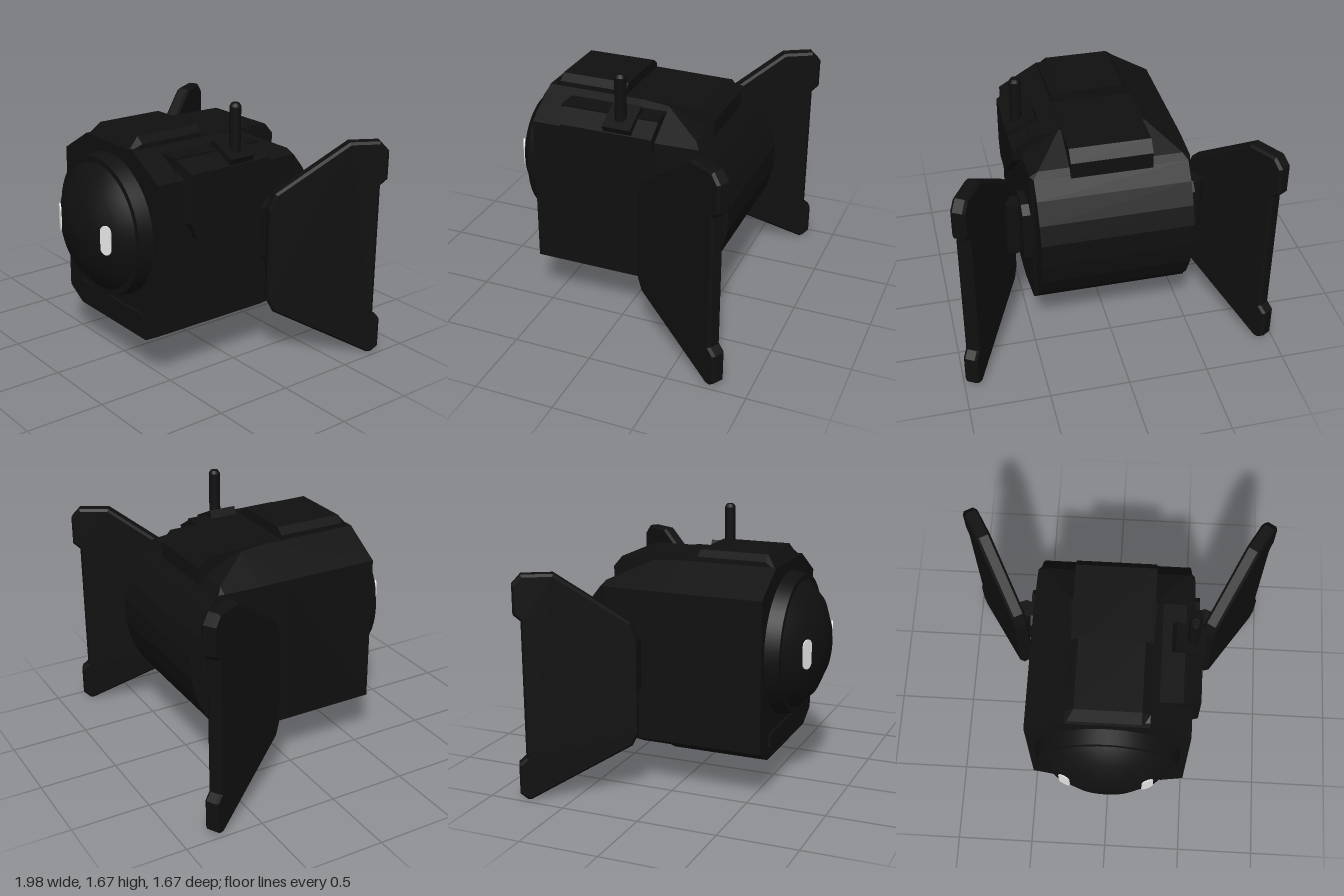
import * as THREE from 'three';

const black = new THREE.MeshStandardMaterial({ color: 0x101010 });
black.name = 'matte black';
const white = new THREE.MeshStandardMaterial({ color: 0xeeeeee });
white.name = 'eye white';

// Skins a row of equal-length rings (counter-clockwise from +z, ordered front to back)
function loft(rings) {
  const n = rings[0].length, pos = rings.flat(2), idx = [];
  for (let r = 0; r < rings.length - 1; r++) {
    for (let i = 0; i < n; i++) {
      const a = r * n + i, b = r * n + (i + 1) % n;
      idx.push(a, a + n, b, b, a + n, b + n);
    }
  }
  const last = (rings.length - 1) * n;
  for (let i = 1; i < n - 1; i++) idx.push(0, i, i + 1, last, last + i + 1, last + i);
  const g = new THREE.BufferGeometry();
  g.setAttribute('position', new THREE.Float32BufferAttribute(pos, 3));
  g.setIndex(idx);
  const flat = g.toNonIndexed();
  flat.computeVertexNormals();
  return flat;
}

// Extrudes a [z, y] profile along x from x0 to x1
function sideExtrude(profile, x0, x1) {
  const shape = new THREE.Shape(profile.map(([z, y]) => new THREE.Vector2(-z, y)));
  return new THREE.ExtrudeGeometry(shape, { depth: x1 - x0, bevelEnabled: false })
    .rotateY(Math.PI / 2).translate(x0, 0, 0);
}

export function createModel() {
  const model = new THREE.Group();
  const add = (name, geometry, x = 0, y = 0, z = 0, material = black, parent = model) => {
    const mesh = new THREE.Mesh(geometry, material);
    mesh.name = name;
    mesh.position.set(x, y, z);
    parent.add(mesh);
    return mesh;
  };

  // Body: chamfered box that rounds off into a barrel at the back [z, half width, bottom, top]
  const stations = [
    [0.58, 0.5, 0.24, 1.42], [-0.04, 0.5, 0.24, 1.42], [-0.04, 0.5, 0.28, 1.42],
    [-0.22, 0.5, 0.28, 1.41], [-0.46, 0.49, 0.34, 1.3], [-0.49, 0.47, 0.37, 1.26],
    [-0.57, 0.47, 0.46, 1.16], [-0.64, 0.47, 0.6, 1.03], [-0.68, 0.47, 0.76, 0.91],
  ];
  add('body', loft(stations.map(([z, w, yb, yt]) => {
    const low = Math.max(0.32, yb), high = Math.min(1.27, yt);
    const wb = w - (low - yb) * 1.75, wt = w - (yt - high) * 1.67;
    return [[-wb, yb, z], [wb, yb, z], [w, low, z], [w, high, z],
      [wt, yt, z], [-wt, yt, z], [-w, high, z], [-w, low, z]];
  })));

  // Raised top plates and lower front lip
  const plateRing = (z, y) => [[-0.25, 1.38, z], [0.25, 1.38, z], [0.25, Math.min(1.45, y), z],
    [0.2, y, z], [-0.2, y, z], [-0.25, Math.min(1.45, y), z]];
  add('topPlate', loft([plateRing(0.58, 1.4), plateRing(0.51, 1.488), plateRing(0.07, 1.488)]));
  add('rearTopPlate', sideExtrude(
    [[0.08, 1.2], [-0.5, 1.2], [-0.5, 1.35], [-0.44, 1.418], [0.08, 1.425]], -0.25, 0.25));
  add('frontLip', new THREE.BoxGeometry(0.7, 0.09, 0.04), 0, 0.365, 0.58);

  // Face: stepped rim and domed visor
  const lathe = (pts) => new THREE.LatheGeometry(pts.map(([r, z]) => new THREE.Vector2(r, z)), 48)
    .rotateX(Math.PI / 2);
  add('faceRimSide', lathe([[0.455, 0.57], [0.435, 0.67]]), 0, 0.9, 0);
  add('faceRimFront', lathe([[0.435, 0.67], [0.4, 0.67]]), 0, 0.9, 0);
  add('visor', lathe([[0.4, 0.67], [0.31, 0.757], [0.17, 0.82], [0, 0.84]]), 0, 0.9, 0);

  // Eyes: thin upright pills lying on the visor
  const pill = new THREE.Shape();
  pill.absarc(0, 0.055, 0.037, 0, Math.PI);
  pill.absarc(0, -0.055, 0.037, Math.PI, Math.PI * 2);
  const eyeGeometry = new THREE.ExtrudeGeometry(pill, { depth: 0.008, bevelEnabled: false, curveSegments: 10 });
  for (const s of [1, -1]) {
    const eye = add(s > 0 ? 'leftEye' : 'rightEye', eyeGeometry, s * 0.255, 0.91, 0.782, white);
    eye.rotation.y = s * 0.42;
  }

  // Shoulder pod on the left, with its outer top edge sloped down
  const pod = sideExtrude([[0.41, 1.0], [0.33, 0.9], [0.15, 0.9], [-0.22, 1.23],
    [-0.22, 1.39], [0.41, 1.39]], 0.42, 0.55);
  const p = pod.attributes.position;
  for (let i = 0; i < p.count; i++) {
    if (p.getX(i) > 0.5) {
      p.setY(i, Math.min(p.getY(i), 1.31));
      p.setZ(i, Math.min(p.getZ(i), 0.37));
    }
  }
  pod.computeVertexNormals();
  add('shoulderPod', pod);
  add('podInnerPlate', new THREE.BoxGeometry(0.16, 0.12, 0.63), 0.36, 1.33, 0.095);

  // Antenna
  const base = add('antennaBase', new THREE.BoxGeometry(0.2, 0.1, 0.18), 0.45, 1.35, 0);
  base.rotation.z = -0.45;
  add('antenna', new THREE.CylinderGeometry(0.036, 0.036, 0.33, 12), 0.483, 1.485, 0);
  add('antennaTip', new THREE.CylinderGeometry(0.024, 0.036, 0.02, 12), 0.483, 1.66, 0);

  // Wings: notched upright panels swept back, in [distance outward, y]
  const outline = [[0, 0.4], [0.04, 0.32], [0.665, 0], [0.69, 0], [0.735, 0.04], [0.735, 0.23],
    [0.69, 0.27], [0.69, 1.13], [0.735, 1.17], [0.735, 1.35], [0.68, 1.41], [0.49, 1.41],
    [0.04, 1.1], [0, 1.0]];
  const wingShape = new THREE.Shape(outline.map(([u, y]) => new THREE.Vector2(u, y)));
  const wingGeometry = new THREE.ExtrudeGeometry(wingShape, {
    depth: 0.06, bevelThickness: 0.015, bevelSize: 0.015, bevelOffset: -0.015, bevelSegments: 1,
  }).translate(0, 0, -0.03);

  for (const s of [1, -1]) {
    const side = new THREE.Group();
    side.name = s > 0 ? 'leftWingAssembly' : 'rightWingAssembly';
    model.add(side);
    const wing = add('wing', wingGeometry, s * 0.59, 0, -0.18, black, side);
    wing.rotation.y = s > 0 ? Math.PI / 3 : Math.PI * 2 / 3;
    // Mount plate and hinge
    add('wingMount', sideExtrude([[-0.2, 0.65], [-0.25, 0.6], [-0.4, 0.6], [-0.45, 0.65],
      [-0.45, 0.98], [-0.4, 1.03], [-0.25, 1.03], [-0.2, 0.98]], -0.03, 0.03), s * 0.51, 0, 0, black, side);
    add('hinge', new THREE.CylinderGeometry(0.06, 0.06, 0.36, 8), s * 0.575, 0.815, -0.31, black, side);
  }
  return model;
}
